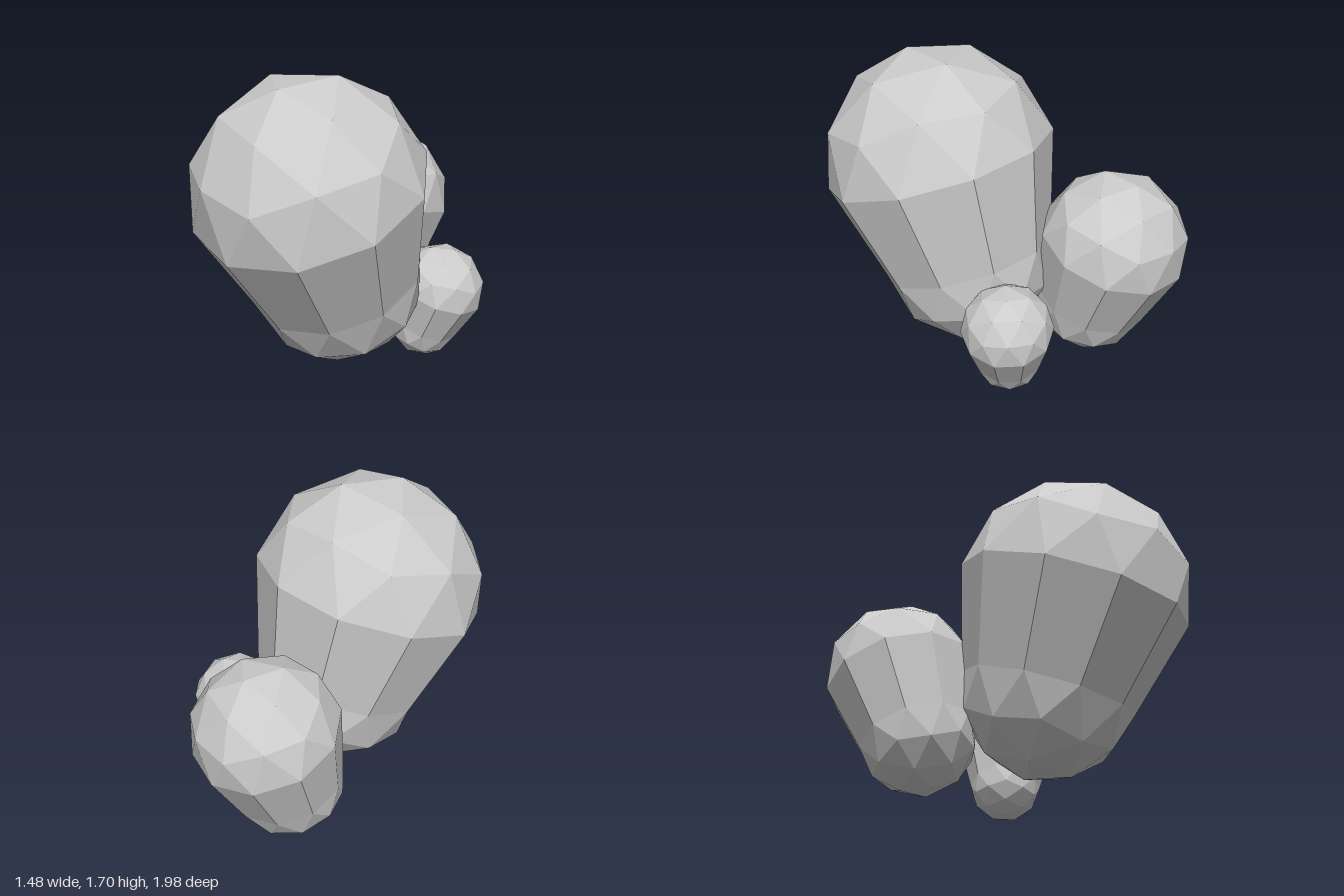
import * as THREE from 'three';

const rad = THREE.MathUtils.degToRad;

// Point on a unit dome: colatitude from the pole, azimuth around it (degrees)
const onDome = (colat, az) => new THREE.Vector3().setFromSphericalCoords(1, rad(colat), rad(az));

// The 40 triangles of half a once-divided icosahedron, pole on +y, ten-sided rim on y = 0
function domeTriangles() {
  const pole = onDome(0, 0);
  const tris = [];
  for (let k = 0; k < 5; k++) {
    const az = 72 * k;
    const a = onDome(31.72, az), aNext = onDome(31.72, az + 72);
    const c = onDome(63.43, az), cNext = onDome(63.43, az + 72);
    const m = onDome(58.28, az + 36);
    const [e0, e1, e2] = [-18, 18, 54].map((d) => onDome(90, az + d));
    tris.push(
      [pole, a, aNext], [a, m, aNext], [a, c, m], [aNext, m, cNext],
      [c, e0, e1], [c, e1, m], [m, e1, e2], [cNext, m, e2],
    );
  }
  return tris;
}

// Tapered faceted capsule: wide dome at the origin, narrow mirrored dome below it
function podGeometry(topRadius, bottomRadius, length) {
  const pos = [];
  const add = (...points) => points.forEach((p) => pos.push(p.x, p.y, p.z));
  const upper = (p) => p.clone().multiplyScalar(topRadius);
  const lower = (p) => new THREE.Vector3(p.x, -p.y, p.z).multiplyScalar(bottomRadius)
    .add(new THREE.Vector3(0, -length, 0));

  for (const [p, q, r] of domeTriangles()) {
    add(upper(p), upper(q), upper(r));
    add(lower(p), lower(r), lower(q));
  }
  // ten flat sides between the rims
  for (let i = 0; i < 10; i++) {
    const p = onDome(90, 36 * i + 18), q = onDome(90, 36 * i + 54);
    add(upper(p), lower(p), lower(q));
    add(upper(p), lower(q), upper(q));
  }
  const geometry = new THREE.BufferGeometry();
  geometry.setAttribute('position', new THREE.Float32BufferAttribute(pos, 3));
  geometry.computeVertexNormals();
  return geometry;
}

// axis: lean of the pod; facing: direction one row of facets points to
const PODS = [
  { name: 'largePod', center: [-0.12, 1.08, 0.37], axis: [-0.18, 0.947, 0.28], facing: [-0.23, 0.14, 0.96], top: 0.64, bottom: 0.475, length: 0.57 },
  { name: 'middlePod', center: [0.04, 0.685, -0.59], axis: [0.15, 0.94, -0.28], facing: [0.095, 0.144, -0.985], top: 0.41, bottom: 0.32, length: 0.39 },
  { name: 'smallPod', center: [0.5, 0.395, -0.045], axis: [0.34, 0.94, 0], facing: [-1, 0, 0.1], top: 0.25, bottom: 0.19, length: 0.23 },
];

export function createModel() {
  const group = new THREE.Group();
  group.name = 'podCluster';
  const material = new THREE.MeshStandardMaterial({ color: 0xcccccc, flatShading: true });

  for (const pod of PODS) {
    const mesh = new THREE.Mesh(podGeometry(pod.top, pod.bottom, pod.length), material);
    mesh.name = pod.name;
    const y = new THREE.Vector3(...pod.axis).normalize();
    const x = y.clone().cross(new THREE.Vector3(...pod.facing)).normalize();
    const z = x.clone().cross(y);
    mesh.quaternion.setFromRotationMatrix(new THREE.Matrix4().makeBasis(x, y, z));
    mesh.position.set(...pod.center);
    group.add(mesh);
  }
  return group;
}
